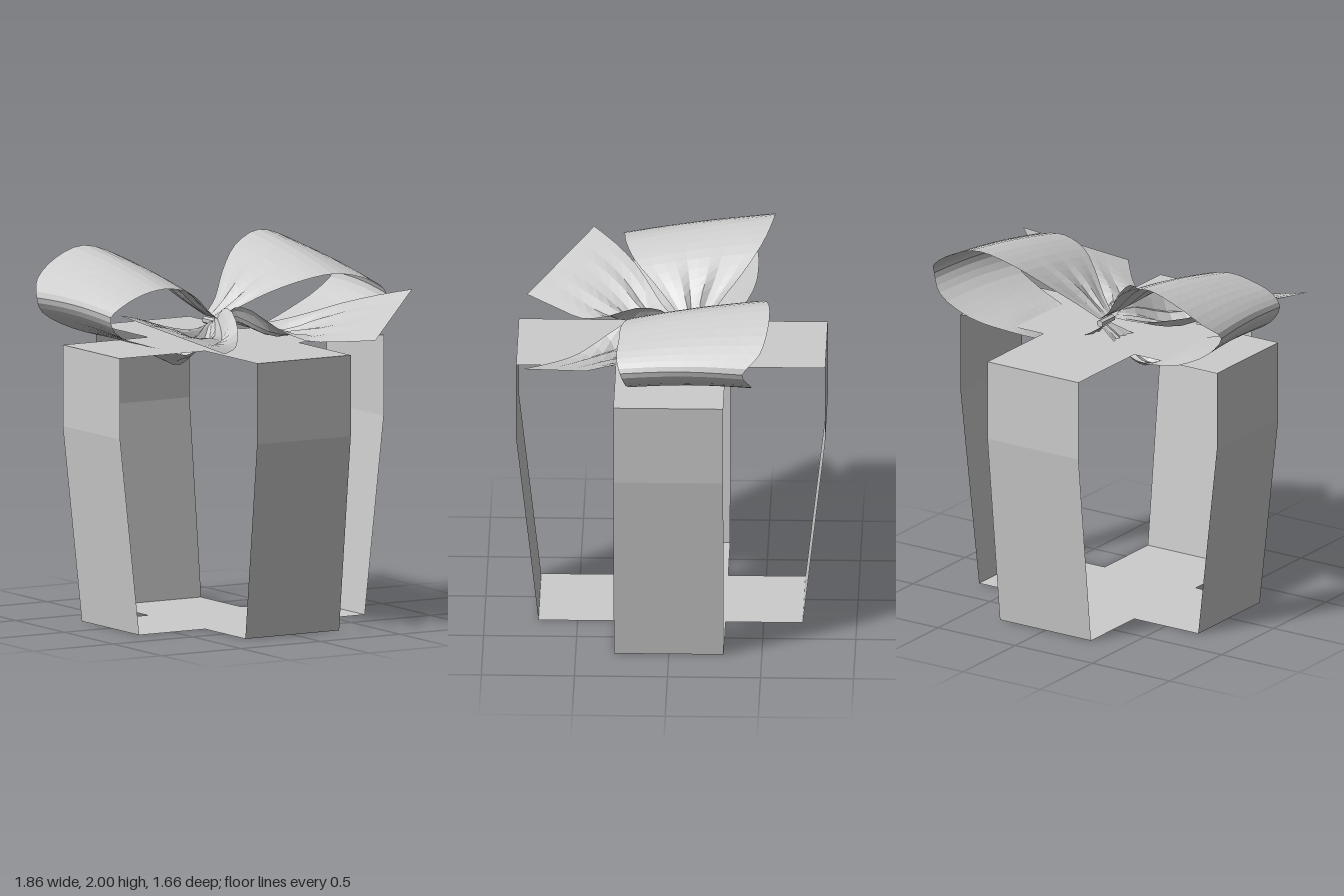
import * as THREE from 'three';

const ribbon = new THREE.MeshStandardMaterial({ color: 0xcccccc, side: THREE.DoubleSide, flatShading: true });
ribbon.name = 'ribbonGrey';

const curve = pts => new THREE.CatmullRomCurve3(pts.map(p => new THREE.Vector3(...p)));

// Cloth sheet stretched between two edge curves; lift(u, v) raises or sags the middle
function sheet(name, edgeA, edgeB, nu, nv, lift) {
  const a = curve(edgeA), b = curve(edgeB);
  const geo = new THREE.PlaneGeometry(1, 1, nu, nv);
  const pos = geo.attributes.position;
  for (let j = 0, k = 0; j <= nv; j++) {
    for (let i = 0; i <= nu; i++, k++) {
      const u = i / nu, v = j / nv;
      // getPoint keeps matching control points of both edges opposite each other
      const p = a.getPoint(u).lerp(b.getPoint(u), v);
      p.y += lift(u, v);
      pos.setXYZ(k, p.x, p.y, p.z);
    }
  }
  geo.computeVertexNormals();
  const mesh = new THREE.Mesh(geo, ribbon);
  mesh.name = name;
  return mesh;
}

// Flat band running round the gift: closed outline of width 0.59
function band(name) {
  const outline = [[0.71, 0], [0.83, 1.07], [0.83, 1.51], [-0.83, 1.51], [-0.83, 1.07], [-0.71, 0], [0.71, 0]];
  const geo = new THREE.PlaneGeometry(1, 1, outline.length - 1, 1);
  const pos = geo.attributes.position;
  for (let j = 0, k = 0; j < 2; j++) {
    for (const [z, y] of outline) pos.setXYZ(k++, j ? 0.295 : -0.295, y, z);
  }
  geo.computeVertexNormals();
  const mesh = new THREE.Mesh(geo, ribbon);
  mesh.name = name;
  return mesh;
}

// One half of the bow: a loop and a tail
function bowHalf(name) {
  const half = new THREE.Group();
  half.name = name;

  const loopBack = [
    [0, 1.62, -0.19], [0.1, 1.70, -0.25], [0.22, 1.82, -0.37], [0.37, 1.94, -0.48], [0.55, 2.0, -0.535],
    [0.72, 1.95, -0.535], [0.87, 1.85, -0.49], [0.93, 1.76, -0.4], [0.87, 1.67, -0.44], [0.68, 1.57, -0.44],
    [0.47, 1.51, -0.37], [0.28, 1.47, -0.27], [0.12, 1.5, -0.2], [0, 1.57, -0.17]];
  const loopFront = [
    [0, 1.62, -0.07], [0.1, 1.68, 0], [0.22, 1.76, 0.1], [0.37, 1.83, 0.21], [0.53, 1.86, 0.26],
    [0.67, 1.84, 0.27], [0.8, 1.79, 0.28], [0.865, 1.73, 0.26], [0.82, 1.64, 0.23], [0.65, 1.56, 0.19],
    [0.46, 1.51, 0.14], [0.28, 1.46, 0.08], [0.12, 1.5, 0], [0, 1.57, -0.08]];
  const loopLift = (u, v) => {
    const mid = Math.sin(Math.PI * v);
    const pinch = Math.exp(-(((Math.min(u, 1 - u) - 0.1) / 0.07) ** 2));
    const sag = Math.exp(-(((u - 0.86) / 0.07) ** 2));
    return mid * (0.015 * Math.sin(Math.PI * u) - 0.08 * sag) + 0.018 * pinch * mid * Math.sin(v * 19);
  };
  half.add(sheet('bowLoop', loopBack, loopFront, 39, 10, loopLift));

  const tailOuter = [
    [0.02, 1.6, -0.08], [0.16, 1.58, -0.02], [0.3, 1.6, 0.06], [0.46, 1.64, 0.13],
    [0.62, 1.69, 0.21], [0.78, 1.735, 0.32], [0.92, 1.77, 0.44]];
  const tailInner = [
    [0.02, 1.63, -0.03], [0.035, 1.69, 0.06], [0.06, 1.69, 0.19], [0.12, 1.61, 0.35],
    [0.22, 1.55, 0.49], [0.33, 1.55, 0.61], [0.475, 1.57, 0.79]];
  const tailLift = (u, v) => {
    const mid = Math.sin(Math.PI * v);
    return mid * (-0.1 * Math.exp(-(((u - 0.38) / 0.2) ** 2)) + 0.04 * (1 - u) * Math.sin(Math.PI * u) * Math.sin(v * 22));
  };
  half.add(sheet('bowTail', tailOuter, tailInner, 12, 9, tailLift));
  return half;
}

export function createModel() {
  const model = new THREE.Group();
  model.name = 'giftRibbon';

  // Crossed bands
  const side = band('sideBand');
  side.rotation.y = Math.PI / 2;
  model.add(band('frontBand'), side);

  // Mirrored bow halves
  const left = bowHalf('leftBow');
  const right = bowHalf('rightBow');
  right.scale.x = -1;
  model.add(left, right);

  // Small pinched fold joining the halves
  const fold = new THREE.Mesh(new THREE.CylinderGeometry(0.02, 0.02, 0.12, 6), ribbon);
  fold.name = 'centreFold';
  fold.rotation.x = Math.PI / 2;
  fold.position.set(0, 1.595, -0.13);
  model.add(fold);
  return model;
}
